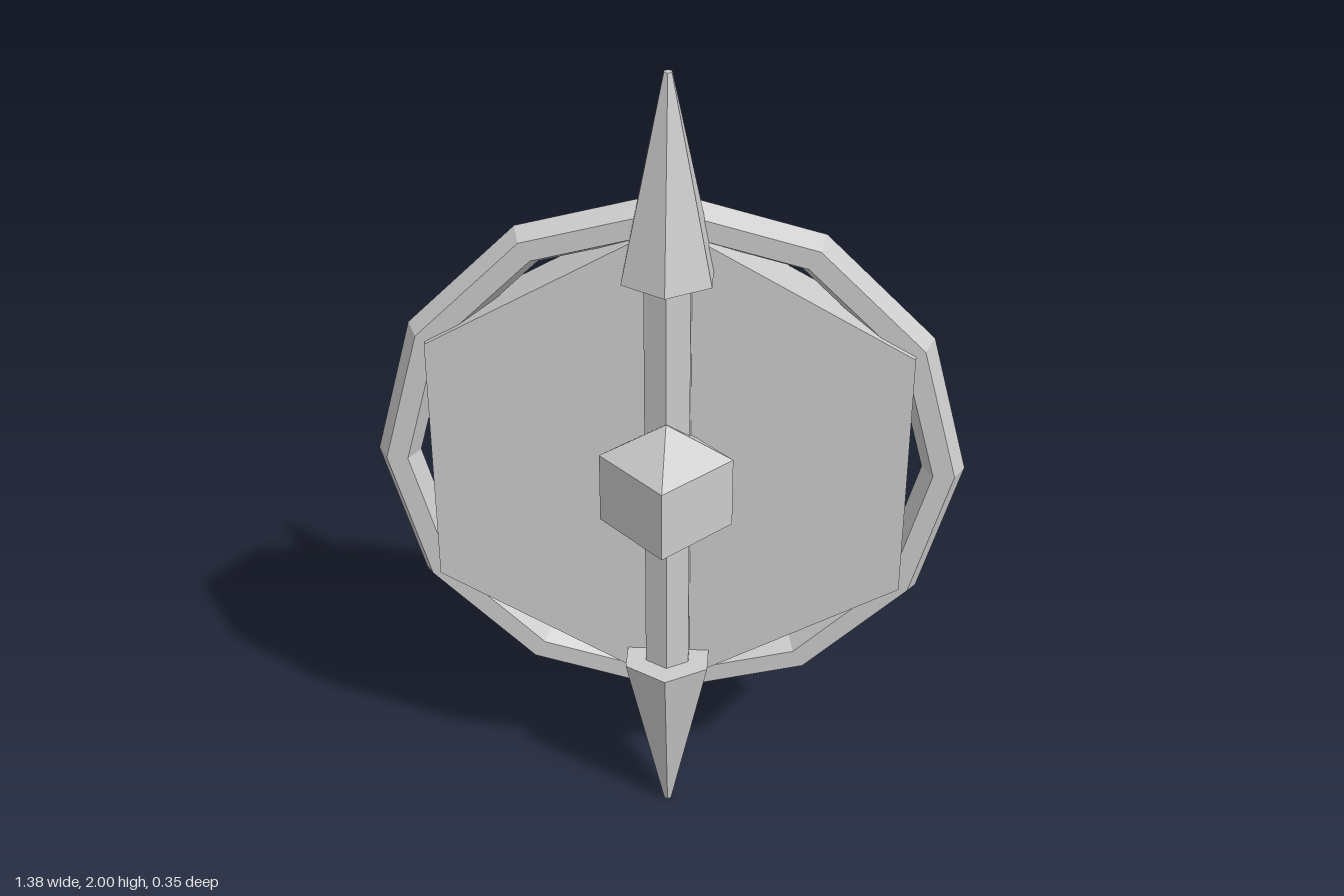
import * as THREE from 'three';

export function createModel() {
  const model = new THREE.Group();
  const material = new THREE.MeshStandardMaterial({ color: 0xcccccc, flatShading: true });

  function add(name, geometry, y, z) {
    const mesh = new THREE.Mesh(geometry, material);
    mesh.name = name;
    mesh.position.set(0, y, z);
    model.add(mesh);
    return mesh;
  }

  const discZ = -0.12;
  const shaftZ = -0.045;

  // Hexagonal plate inside a twelve-sided rim
  add('plate', new THREE.CylinderGeometry(0.64, 0.64, 0.115, 6).rotateX(Math.PI / 2), 1, discZ);
  add('rim', new THREE.TorusGeometry(0.64, 0.05, 6, 12), 1, discZ);

  // Upright shaft with a tapered spike at each end
  add('shaft', new THREE.CylinderGeometry(0.06, 0.06, 1.06, 6), 1, shaftZ);
  for (const side of [1, -1]) {
    const spike = new THREE.CylinderGeometry(0.01, 0.115, 0.472, 6);
    if (side < 0) spike.rotateZ(Math.PI);
    add(side > 0 ? 'upperSpike' : 'lowerSpike', spike, 1 + side * 0.764, shaftZ);
  }

  // Faceted gem at the centre
  add('gem', new THREE.SphereGeometry(0.177, 4, 3), 1.004, 0.023);

  return model;
}
